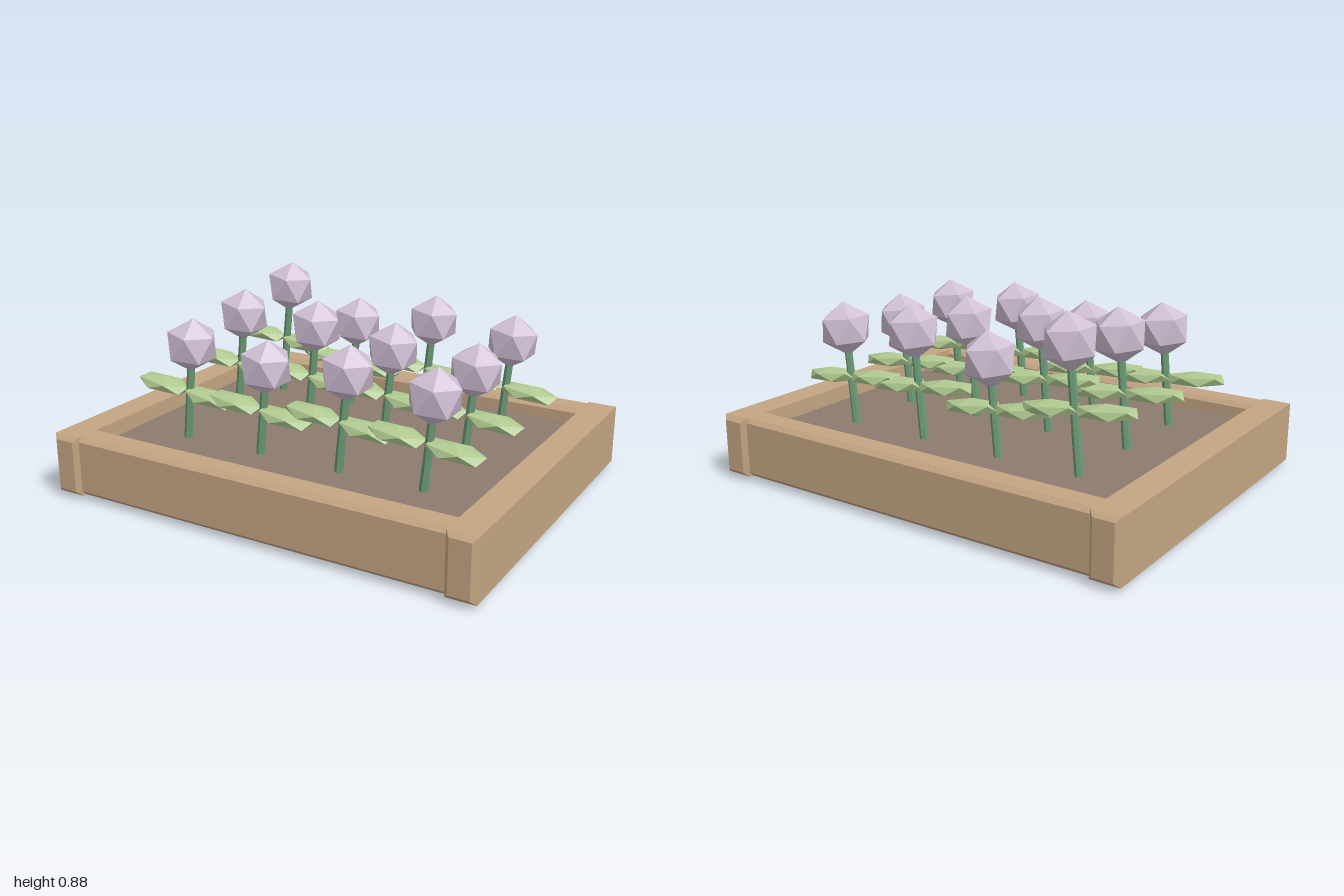
import * as THREE from 'three';

const mat = (name, color) => {
  const m = new THREE.MeshStandardMaterial({ color, flatShading: true });
  m.name = name;
  return m;
};

export function createModel() {
  const wood = mat('wood', 0xc4a582);
  const soilBrown = mat('soil brown', 0x8b7b6e);
  const stemGreen = mat('stem green', 0x6b9b76);
  const leafGreen = mat('leaf green', 0xb0ca90);
  const petal = mat('petal lilac', 0xd0c0d5);
  const model = new THREE.Group();
  model.name = 'flowerBed';

  const add = (parent, name, geo, material, x, y, z) => {
    const mesh = new THREE.Mesh(geo, material);
    mesh.name = name;
    mesh.position.set(x, y, z);
    parent.add(mesh);
    return mesh;
  };

  // Box with a single flat chamfer on every edge
  const chamferBox = (w, h, d, c = 0.02) => {
    const x = w / 2 - c, y = h / 2 - c;
    const shape = new THREE.Shape([
      new THREE.Vector2(-x, -y), new THREE.Vector2(x, -y),
      new THREE.Vector2(x, y), new THREE.Vector2(-x, y),
    ]);
    const geo = new THREE.ExtrudeGeometry(shape, {
      depth: d - 2 * c, bevelEnabled: true, bevelSize: c, bevelThickness: c, bevelSegments: 1,
    });
    return geo.translate(0, 0, c - d / 2);
  };

  // Planter frame and soil
  for (const s of [1, -1]) {
    add(model, s > 0 ? 'leftBoard' : 'rightBoard', chamferBox(0.13, 0.27, 1.6), wood, s * 0.935, 0.155, 0);
    add(model, s > 0 ? 'frontBoard' : 'backBoard', chamferBox(1.88, 0.27, 0.13), wood, 0, 0.155, s * 0.715);
  }
  const soilTop = 0.22;
  add(model, 'soil', chamferBox(1.83, soilTop, 1.39), soilBrown, 0, soilTop / 2, 0);

  // Twenty-sided ball standing on a vertex, shared by blooms and leaves
  const ball = new THREE.IcosahedronGeometry(1, 0).rotateZ(-Math.atan2(1, (1 + Math.sqrt(5)) / 2));
  const bloomGeo = ball.clone().scale(0.121, 0.121, 0.121);
  const leafGeo = ball.clone().scale(0.15, 0.036, 0.075);

  // Bloom centre heights, front row to back row, right to left
  const rows = [
    { z: 0.385, tops: [0.655, 0.615, 0.655, 0.625] },
    { z: 0, tops: [0.705, 0.7, 0.655, 0.62] },
    { z: -0.385, tops: [0.76, 0.63, 0.69, 0.65] },
  ];
  const lean = 0.1;
  for (const { z, tops } of rows) {
    tops.forEach((top, i) => {
      const plant = new THREE.Group();
      plant.name = 'flower';
      plant.position.set(-0.587 + i * 0.391, soilTop, z);
      plant.rotation.z = -lean;
      model.add(plant);
      const h = (top - soilTop) / Math.cos(lean);
      add(plant, 'stem', new THREE.CylinderGeometry(0.017, 0.019, h, 6), stemGreen, 0, h / 2, 0);
      add(plant, 'bloom', bloomGeo, petal, 0, h, 0);
      add(plant, 'rightLeaf', leafGeo, leafGreen, -0.145, h * 0.5, 0);
      add(plant, 'leftLeaf', leafGeo, leafGreen, 0.11, h * 0.5, 0);
    });
  }
  return model;
}
